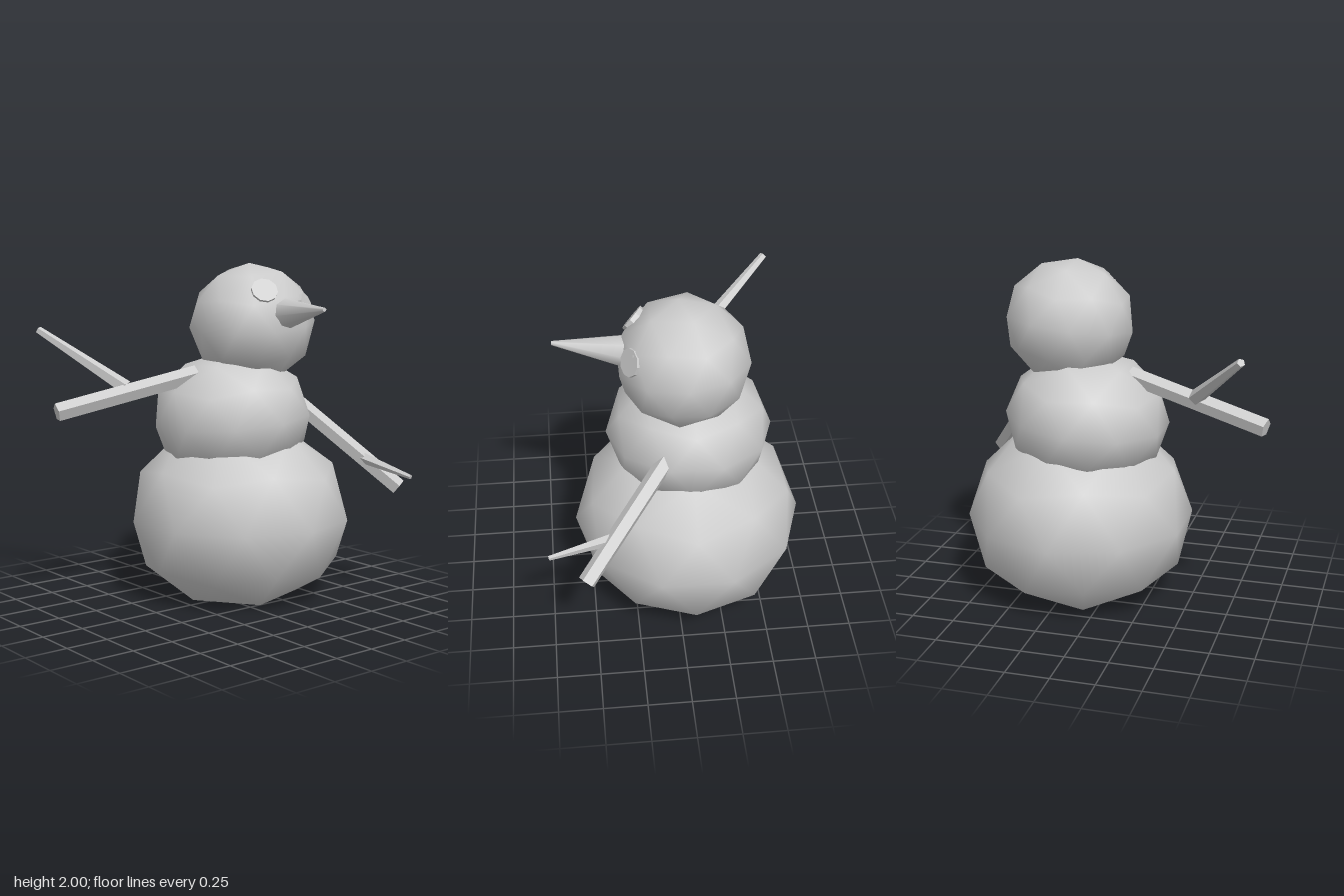
import * as THREE from 'three';

const smooth = () => new THREE.MeshStandardMaterial({ color: 0xcccccc });
const flat = () => new THREE.MeshStandardMaterial({ color: 0xcccccc, flatShading: true });
const V = (p) => new THREE.Vector3(...p);
const UP = new THREE.Vector3(0, 1, 0);

function add(parent, name, geometry, material) {
  const mesh = new THREE.Mesh(geometry, material);
  mesh.name = name;
  parent.add(mesh);
  return mesh;
}

// 80-faced smooth ball with a vertex at its top and a ring vertex toward -z
function ballGeometry(rx, ry, rz) {
  const g = new THREE.IcosahedronGeometry(1, 1);
  g.rotateZ(Math.atan(2 / (1 + Math.sqrt(5))));
  g.rotateY(-Math.PI / 2);
  g.scale(rx, ry, rz);
  return g;
}

// Flatten everything below y = 0, with a hard-edged base
function flattenBase(g) {
  const p = g.attributes.position, n = g.attributes.normal;
  for (let i = 0; i < p.count; i += 3) {
    let low = 0;
    for (let j = i; j < i + 3; j++) {
      if (p.getY(j) < 0.03) {
        p.setY(j, 0);
        low++;
      }
    }
    if (low === 3) for (let j = i; j < i + 3; j++) n.setXYZ(j, 0, -1, 0);
  }
  return g;
}

// Tapered rod between two points
function rod(parent, name, from, to, r0, r1, sides, material, spin = 0) {
  const a = V(from), b = V(to);
  const g = new THREE.CylinderGeometry(r1, r0, a.distanceTo(b), sides);
  g.rotateY(spin);
  const mesh = add(parent, name, g, material);
  mesh.position.copy(a).add(b).multiplyScalar(0.5);
  mesh.quaternion.setFromUnitVectors(UP, b.sub(a).normalize());
  return mesh;
}

export function createModel() {
  const model = new THREE.Group();
  model.name = 'snowman';

  // Snowballs
  const base = ballGeometry(0.67, 0.6, 0.67);
  base.translate(-0.08, 0.48, -0.18);
  add(model, 'lowerBody', flattenBase(base), smooth());

  const middle = add(model, 'middleBody', ballGeometry(0.48, 0.4, 0.48), smooth());
  middle.position.set(-0.09, 1.085, -0.13);
  middle.rotation.x = 0.09;

  const headCentre = V([-0.045, 1.64, -0.25]);
  const head = add(model, 'head', ballGeometry(0.375, 0.365, 0.38), smooth());
  head.position.copy(headCentre);
  head.rotation.set(0.14, 0.3, -0.07);

  // Nose
  rod(model, 'nose', [0.25, 1.71, -0.24], [0.665, 1.75, -0.18], 0.097, 0.012, 8, smooth());

  // Eyes, shallow discs set into the head
  [[0.27, 0.21, 0.13], [0.32, 0.12, -0.17]].forEach((d, i) => {
    const dir = V(d).normalize();
    const eye = add(model, i ? 'rightEye' : 'leftEye',
      new THREE.CylinderGeometry(0.078, 0.078, 0.05, 10), flat());
    eye.position.copy(headCentre).addScaledVector(dir, 0.342);
    eye.quaternion.setFromUnitVectors(UP, dir);
  });

  // Stick arms, each with one twig
  const arms = [
    { name: 'frontArm', from: [-0.1, 1.355, 0.13], to: [-0.315, 1.17, 0.95], r: 0.054,
      twigFrom: [-0.23, 1.29, 0.54], twigTo: [-0.66, 1.615, 0.86], t0: 0.045, t1: 0.023 },
    { name: 'backArm', from: [0.06, 1.17, -0.5], to: [0.55, 0.655, -0.91], r: 0.052,
      twigFrom: [0.4, 0.83, -0.765], twigTo: [0.75, 0.757, -0.805], t0: 0.035, t1: 0.014 },
  ];
  for (const a of arms) {
    const arm = new THREE.Group();
    arm.name = a.name;
    rod(arm, 'stick', a.from, a.to, a.r, a.r, 5, flat(), 0.3);
    rod(arm, 'twig', a.twigFrom, a.twigTo, a.t0, a.t1, 5, flat());
    model.add(arm);
  }

  return model;
}
